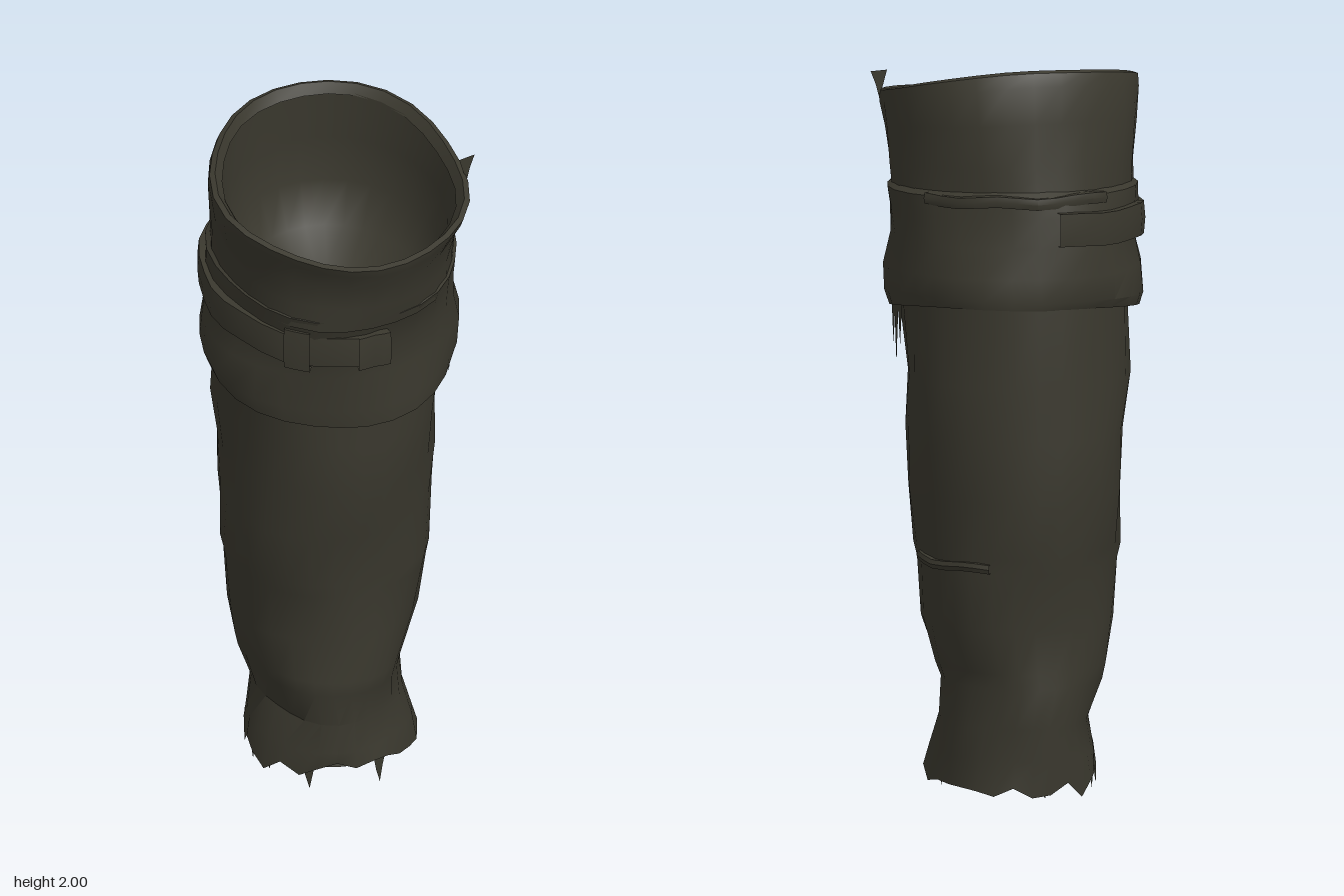
import * as THREE from 'three';
import { toCreasedNormals } from 'three/addons/utils/BufferGeometryUtils.js';

const SIDES = 28;
const cloth = new THREE.MeshStandardMaterial({ color: 0x3a382e, side: THREE.DoubleSide });
cloth.name = 'dark olive cloth';

// A ring is [yFront, yBack, xMin, xMax, zFront, zBack]; angle 0 is +x, a quarter turn is the front.
function ringPoint(r, a, out = 0) {
  const [yf, yb, x0, x1, zf, zb] = r;
  const s = Math.sin(a), c = Math.cos(a);
  return new THREE.Vector3(
    (x0 + x1) / 2 + ((x1 - x0) / 2 + out) * c,
    yb + (yf - yb) * (s + 1) / 2,
    (zf + zb) / 2 + ((zf - zb) / 2 + out) * s);
}

// Soft creases that vary around and along the cloth
function wrinkle(a, y) {
  return 0.006 * Math.sin(3 * a + 9 * y) + 0.005 * Math.sin(5 * a - 14 * y + 1) - 0.004;
}

// Skin rows of points into one surface
function skin(rows, closed, crease = 0.6) {
  const n = rows[0].length, pos = [], index = [];
  rows.forEach(row => row.forEach(p => pos.push(p.x, p.y, p.z)));
  for (let i = 0; i < rows.length - 1; i++) {
    for (let j = 0; j < (closed ? n : n - 1); j++) {
      const k = (j + 1) % n, a = i * n + j, b = i * n + k, c = a + n, d = b + n;
      index.push(a, c, b, b, c, d);
    }
  }
  const g = new THREE.BufferGeometry();
  g.setAttribute('position', new THREE.Float32BufferAttribute(pos, 3));
  g.setIndex(index);
  return toCreasedNormals(g, crease);
}

// Rings skinned into a tube; adjust can shift single points
function loft(rings, amount = 1, adjust = () => {}) {
  return skin(rings.map((r, i) => Array.from({ length: SIDES }, (_, j) => {
    const a = j / SIDES * Math.PI * 2;
    const p = ringPoint(r, a, amount * wrinkle(a, (r[0] + r[1]) / 2));
    adjust(p, i, j, a);
    return p;
  })), true);
}

// Band that follows part of a ring, with a rounded outside
function band(ring, from, to, half, inner, outer, steps = 14, wave = 0) {
  const profile = [[inner, -half], [outer, -half], [outer + 0.004, 0], [outer, half], [inner, half]];
  const rows = profile.map(([o, dy]) => Array.from({ length: steps + 1 }, (_, i) => {
    const a = from + (to - from) * i / steps;
    const p = ringPoint(ring, a, o + wave * Math.sin(i * 1.9));
    p.y += dy + wave * Math.sin(i * 1.3);
    return p;
  }));
  return skin(rows, false);
}

export function createModel() {
  const group = new THREE.Group();
  const add = (name, geometry) => {
    const m = new THREE.Mesh(geometry, cloth);
    m.name = name;
    group.add(m);
    return m;
  };

  // Long lower tube with a ragged hem, raised in an arch at the front
  const lower = [
    [0.06, 0.035, -0.225, 0.245, 0.165, -0.37],
    [0.13, 0.12, -0.215, 0.23, 0.165, -0.37],
    [0.21, 0.21, -0.19, 0.215, 0.145, -0.38],
    [0.32, 0.32, -0.225, 0.21, 0.175, -0.385],
    [0.36, 0.36, -0.235, 0.225, 0.175, -0.38],
    [0.48, 0.48, -0.26, 0.265, 0.16, -0.385],
    [0.64, 0.64, -0.27, 0.275, 0.185, -0.40],
    [0.68, 0.68, -0.28, 0.285, 0.19, -0.405],
    [0.84, 0.84, -0.285, 0.29, 0.21, -0.43],
    [1.0, 1.0, -0.29, 0.30, 0.24, -0.435],
    [1.15, 1.15, -0.30, 0.305, 0.245, -0.43],
    [1.3, 1.38, -0.31, 0.31, 0.25, -0.41],
  ];
  add('lowerSleeve', loft(lower, 1, (p, i, j, a) => {
    if (i > 0) return;
    p.y += 0.016 * Math.sin(j * 2.4) + (j % 3 === 0 ? -0.014 : 0.006);
    if (Math.abs(a - Math.PI / 2) < 0.6) p.y += 0.025;
  }));

  // Hollow end above the hem
  add('lowerHollow', loft([
    [0.08, 0.06, -0.205, 0.22, 0.15, -0.36],
    [0.14, 0.13, -0.18, 0.195, 0.13, -0.34],
    [0.2, 0.2, -0.12, 0.13, 0.05, -0.27],
    [0.22, 0.22, 0, 0, -0.11, -0.11],
  ], 0));

  // Turned cuff, folded under at the bottom and in at the top
  add('cuff', loft([
    [1.29, 1.39, -0.30, 0.30, 0.25, -0.40],
    [1.255, 1.365, -0.345, 0.335, 0.31, -0.41],
    [1.31, 1.385, -0.36, 0.345, 0.315, -0.415],
    [1.42, 1.45, -0.355, 0.345, 0.31, -0.41],
    [1.51, 1.53, -0.335, 0.325, 0.325, -0.395],
    [1.58, 1.61, -0.345, 0.33, 0.345, -0.385],
    [1.63, 1.665, -0.345, 0.335, 0.365, -0.375],
    [1.64, 1.68, -0.325, 0.315, 0.35, -0.355],
  ], 1, (p, i, j, a) => { if (i === 1 || i === 2) p.y += 0.02 * Math.max(0, Math.cos(a)); }));

  // Upper tube with a rolled rim that dips a little on the left
  const dip = (p, a) => { p.y -= 0.02 * Math.max(0, Math.cos(a + 0.2)) ** 3; };
  add('upperSleeve', loft([
    [1.60, 1.64, -0.335, 0.32, 0.36, -0.36],
    [1.68, 1.74, -0.335, 0.325, 0.375, -0.35],
    [1.75, 1.86, -0.35, 0.335, 0.385, -0.335],
    [1.81, 1.96, -0.36, 0.345, 0.425, -0.32],
    [1.835, 1.995, -0.36, 0.345, 0.435, -0.30],
    [1.84, 2.0, -0.345, 0.33, 0.42, -0.285],
    [1.81, 1.97, -0.325, 0.31, 0.395, -0.27],
  ], 1, (p, i, j, a) => { if (i > 2) dip(p, a); }));

  // Bowl-shaped lining inside the rim
  add('lining', loft([
    [1.815, 1.975, -0.33, 0.315, 0.4, -0.275],
    [1.72, 1.82, -0.31, 0.295, 0.345, -0.285],
    [1.62, 1.68, -0.29, 0.28, 0.315, -0.29],
    [1.53, 1.56, -0.24, 0.23, 0.25, -0.25],
    [1.47, 1.48, -0.14, 0.135, 0.12, -0.16],
    [1.45, 1.45, 0, 0, -0.02, -0.02],
  ], 0, (p, i, j, a) => { if (i === 0) dip(p, a); }));

  // Strap round the right side, with its keeper and loose end in front
  const strapRing = [1.525, 1.58, -0.335, 0.325, 0.33, -0.39];
  add('strap', band(strapRing, 1.5, Math.PI * 1.45, 0.045, -0.02, 0.02, 16, 0.003));
  add('strapKeeper', band(strapRing, 2.05, 2.25, 0.06, 0, 0.028, 3));
  add('strapTip', band(strapRing, 1.42, 1.68, 0.05, -0.02, 0.024, 4, 0.003));

  // Fold ridges at the cuff top and on the left side
  add('cuffTopFold', band([1.63, 1.655, -0.335, 0.325, 0.355, -0.37], -2.2, -0.6, 0.015, -0.02, 0.01, 10, 0.004));
  add('sideFold', band([0.655, 0.655, -0.275, 0.28, 0.185, -0.405], -1.1, -0.1, 0.012, -0.02, 0.004, 6, 0.004));

  // Pointed scraps of cloth
  const scrap = (x, y, z, w, h, turn, name) => {
    const s = new THREE.Shape([
      new THREE.Vector2(-w, 0), new THREE.Vector2(-w * 0.5, -h * 0.6), new THREE.Vector2(0, -h),
      new THREE.Vector2(w * 0.4, -h * 0.5), new THREE.Vector2(w, 0)]);
    const m = add(name, new THREE.ShapeGeometry(s));
    m.position.set(x, y, z);
    m.rotation.y = turn;
  };

  // Scraps hanging under the cuff on the left side
  [[0.03, 0.13], [-0.01, 0.18], [-0.06, 0.12]].forEach(([z, h]) =>
    scrap(0.312, 1.34, z, 0.03, h, Math.PI / 2, 'sideScrap'));

  // Torn threads that start inside the hem
  for (let i = 0; i < 10; i++) {
    const a = i * 2.4 + 0.3;
    const p = ringPoint(lower[0], a, -0.018);
    const top = p.y + 0.05;
    scrap(p.x, top, p.z, 0.025, top - 0.004 - 0.014 * (i % 3), Math.PI / 2 - a, 'hemThread');
  }

  // Pulled corner on the rim
  scrap(0.335, 1.94, 0.12, 0.025, 0.07, 0.3, 'rimCorner');
  return group;
}
